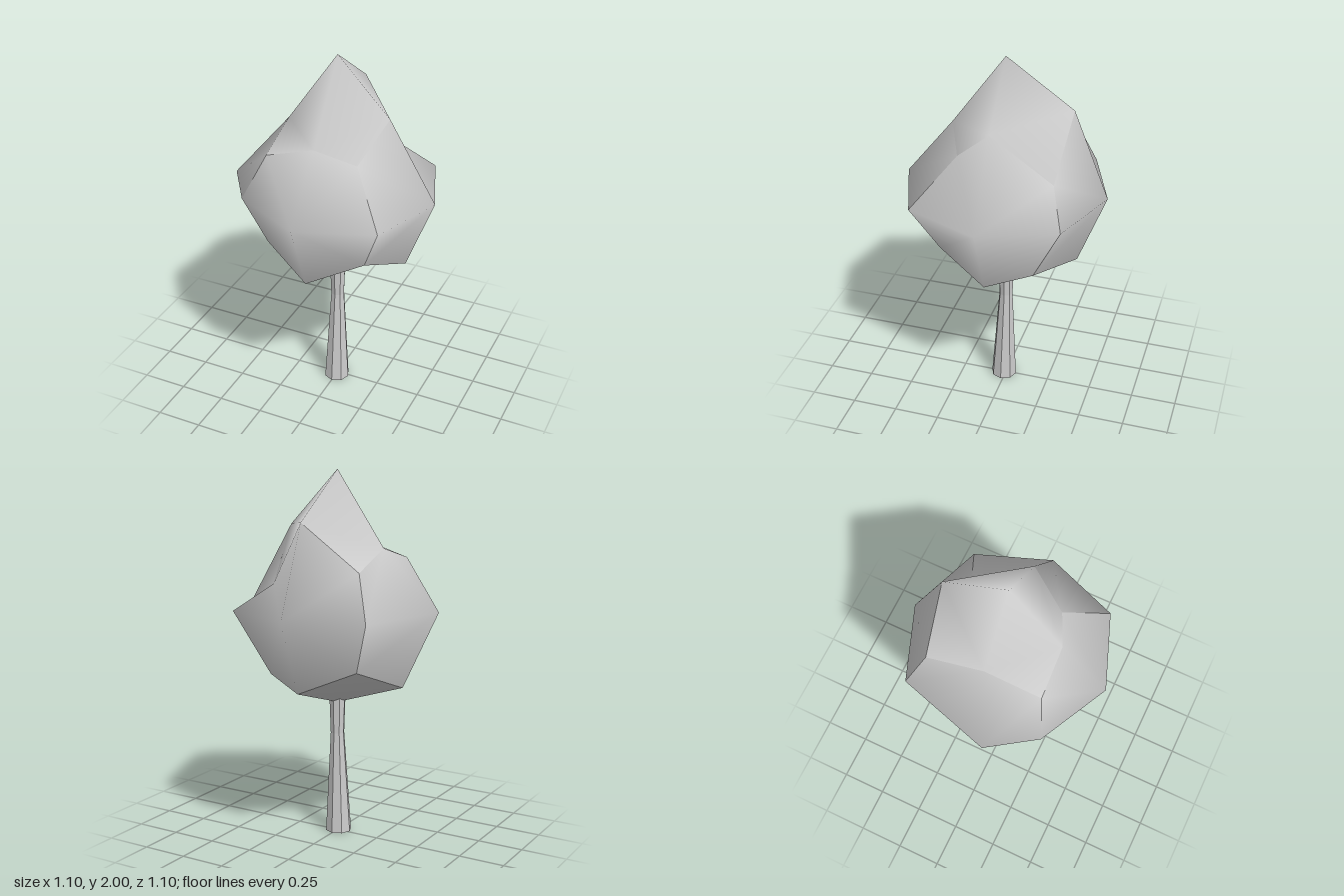
import * as THREE from 'three';
import { mergeGeometries } from 'three/addons/utils/BufferGeometryUtils.js';

const grey = () => new THREE.MeshStandardMaterial({ color: 0xcccccc });
const MID_Y = 1.27;

// Crown points that leave the regular rounded block, keyed by grid position x,y,z
const shaped = {
  '0,1,0': [0, 2, 0],
  '1,1,0': [0.29, 1.7, 0],
  '-1,1,0': [-0.28, 1.6, 0],
  '0,1,1': [0, 1.6, 0.29],
  '0,1,-1': [0, 1.75, -0.36],
  '1,1,1': [0.2, 1.51, 0.2],
  '-1,1,1': [-0.26, 1.52, 0.3],
  '1,1,-1': [0.2, 1.42, -0.31],
  '-1,1,-1': [-0.31, 1.51, -0.31],
  '-1,0,0': [-0.55, MID_Y, 0.11],
  '-1,0,1': [-0.38, MID_Y, 0.36],
  '1,-1,-1': [0.28, 0.91, -0.23],
  '0,-1,0': [0, 0.74, 0],
};

// Face centres, edge middles and corners of the block lie at different distances
function crownPoint(g) {
  const special = shaped[g.join(',')];
  if (special) return new THREE.Vector3(...special);
  const s = [0, 0.55, 0.4, 0.28][g.filter((v) => v !== 0).length];
  return new THREE.Vector3(g[0] * s, MID_Y + g[1] * s, g[2] * s);
}

// One side of the block: four quads, smooth inside, sharp along its rim
function crownSide(axis, side) {
  const points = [];
  for (let v = -1; v <= 1; v++) {
    for (let u = -1; u <= 1; u++) {
      const g = [0, 0, 0];
      g[axis] = side;
      g[(axis + 1) % 3] = u * side; // mirrored so the winding always faces out
      g[(axis + 2) % 3] = v;
      points.push(crownPoint(g.map((n) => n + 0)));
    }
  }
  const index = [];
  for (const a of [0, 1, 3, 4]) {
    const [b, c, d] = [a + 1, a + 4, a + 3];
    // Split each quad along its shorter diagonal
    if (points[a].distanceTo(points[c]) < points[b].distanceTo(points[d])) {
      index.push(a, b, c, a, c, d);
    } else {
      index.push(a, b, d, b, c, d);
    }
  }
  const geo = new THREE.BufferGeometry().setFromPoints(points);
  geo.setIndex(index);
  geo.computeVertexNormals();
  return geo;
}

function crownGeometry() {
  const sides = [];
  for (let axis = 0; axis < 3; axis++) {
    sides.push(crownSide(axis, 1), crownSide(axis, -1));
  }
  return mergeGeometries(sides);
}

// Eight-sided trunk, flared at the foot and slightly at the top
function trunkGeometry() {
  const profile = [[0, 0], [0.072, 0], [0.038, 0.57], [0.046, 0.8], [0, 0.8]];
  const geo = new THREE.LatheGeometry(profile.map((p) => new THREE.Vector2(...p)), 8);
  const p = geo.attributes.position;
  for (let i = 0; i < p.count; i++) {
    p.setZ(i, p.getZ(i) + 0.012 * Math.max(0, 1 - p.getY(i) / 0.57)); // foot leans forward
  }
  return geo;
}

export function createModel() {
  const tree = new THREE.Group();
  tree.name = 'tree';

  const crown = new THREE.Mesh(crownGeometry(), grey());
  crown.name = 'crown';

  const trunkMaterial = grey();
  trunkMaterial.flatShading = true;
  const trunk = new THREE.Mesh(trunkGeometry(), trunkMaterial);
  trunk.name = 'trunk';

  tree.add(crown, trunk);
  return tree;
}
